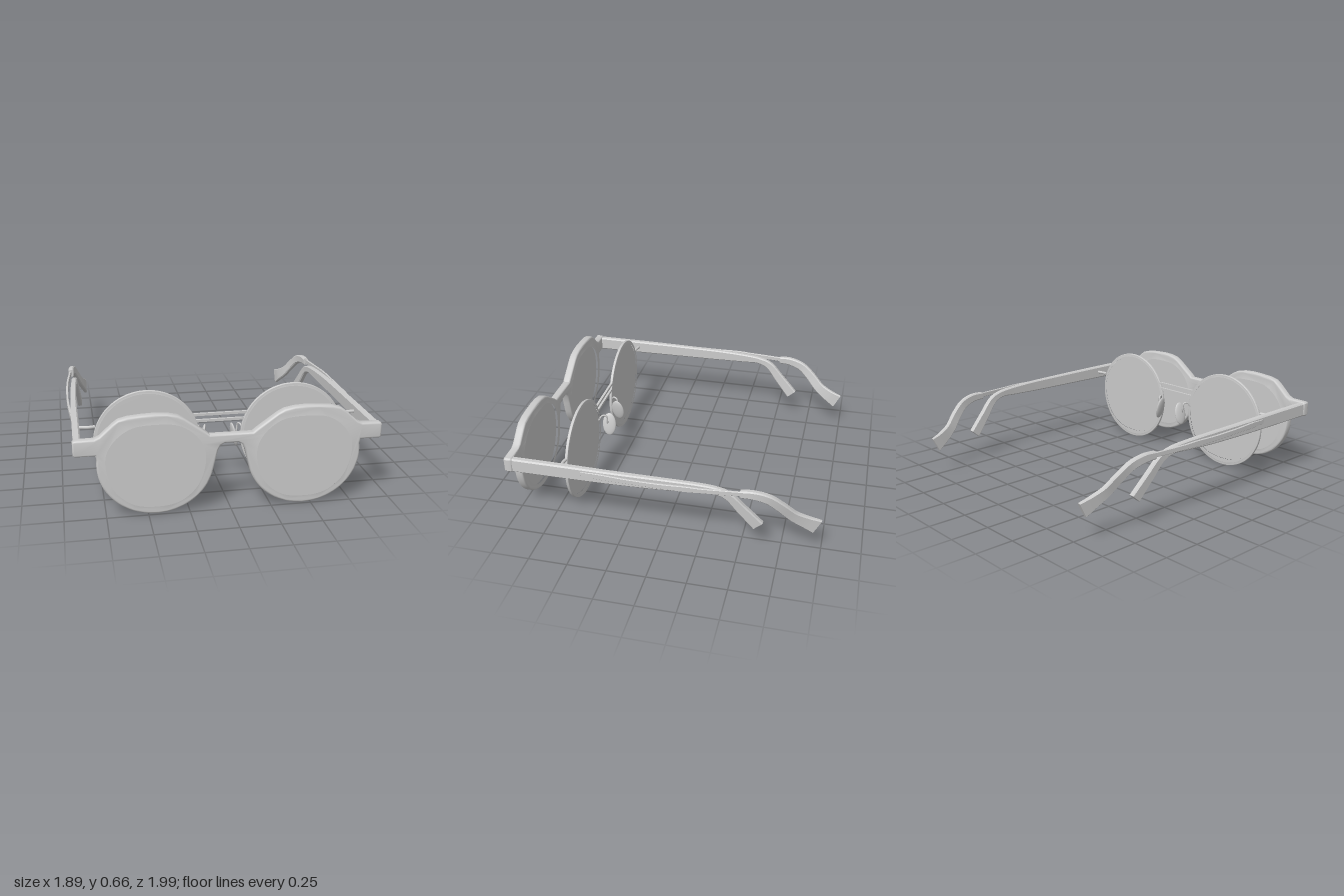
import * as THREE from 'three';
import { toCreasedNormals } from 'three/addons/utils/BufferGeometryUtils.js';

const material = new THREE.MeshStandardMaterial({ color: 0xcccccc });
const V2 = (x, y) => new THREE.Vector2(x, y);
const V3 = (p) => new THREE.Vector3(...p);

// Mirror a geometry in x and keep its faces outward
function mirrored(geometry) {
  const g = geometry.index ? geometry.toNonIndexed() : geometry.clone();
  g.scale(-1, 1, 1);
  for (const a of Object.values(g.attributes)) {
    const n = a.itemSize;
    for (let i = 0; i < a.count; i += 3)
      for (let k = 0; k < n; k++) {
        const p = (i + 1) * n + k;
        [a.array[p], a.array[p + n]] = [a.array[p + n], a.array[p]];
      }
  }
  return g;
}

// Extrude an outline between two depths with a small inward bevel
function plate(outline, holes, z0, z1, bevel) {
  const shape = new THREE.Shape(outline);
  for (const h of holes) shape.holes.push(new THREE.Path(h));
  const g = new THREE.ExtrudeGeometry(shape, {
    depth: z1 - z0 - 2 * bevel, bevelEnabled: bevel > 0, bevelThickness: bevel,
    bevelSize: bevel, bevelOffset: -bevel, bevelSegments: 3,
  });
  g.translate(0, 0, z0 + bevel);
  return toCreasedNormals(g, 0.6);
}

// Sweep a chamfered rectangle through stations [x, y, z, height, width]
function bar(stations, steps = 40) {
  const path = new THREE.CatmullRomCurve3(stations.map((s) => V3(s.slice(0, 3))));
  const size = new THREE.CatmullRomCurve3(stations.map((s) => V3([s[3], s[4], 0])));
  const pos = [], index = [], n = 8;
  const X = new THREE.Vector3(1, 0, 0);
  for (let i = 0; i <= steps; i++) {
    const c = path.getPoint(i / steps), t = path.getTangent(i / steps);
    const { x: h, y: w } = size.getPoint(i / steps);
    const N = X.clone().cross(t).normalize();
    const a = w / 2, b = h / 2, k = Math.min(w, h) * 0.2;
    const ring = [[a, -b + k], [a, b - k], [a - k, b], [k - a, b],
      [-a, b - k], [-a, k - b], [k - a, -b], [a - k, -b]];
    for (const [u, v] of ring) pos.push(c.x + u, c.y + N.y * v, c.z + N.z * v);
  }
  for (let i = 0; i < steps; i++)
    for (let j = 0; j < n; j++) {
      const a = i * n + j, b = i * n + ((j + 1) % n);
      index.push(a, a + n, b, b, a + n, b + n);
    }
  const e = steps * n;
  for (let j = 1; j < n - 1; j++) index.push(0, j, j + 1, e, e + j + 1, e + j);
  const g = new THREE.BufferGeometry();
  g.setAttribute('position', new THREE.Float32BufferAttribute(pos, 3));
  g.setIndex(index);
  return toCreasedNormals(g, 0.5);
}

const tube = (points, r) =>
  new THREE.TubeGeometry(new THREE.CatmullRomCurve3(points.map(V3)), 24, r, 8);

// Smooth lens opening from half a profile, mirrored about its own centre line
function opening(cx, half) {
  const other = half.slice(1, -1).reverse().map(([x, y]) => [-x, y]);
  const pts = [...half, ...other].map(([x, y]) => new THREE.Vector3(cx + x, y, 0));
  return new THREE.CatmullRomCurve3(pts, true).getPoints(72).slice(0, -1).map((p) => V2(p.x, p.y));
}

function ellipse(cx, cy, rx, ry) {
  return Array.from({ length: 72 }, (_, i) => {
    const a = -i / 72 * Math.PI * 2;
    return V2(cx + rx * Math.cos(a), cy + ry * Math.sin(a));
  });
}

const flip = (pts) => pts.map((p) => V2(-p.x, p.y)).reverse();

export function createModel() {
  const model = new THREE.Group();
  const add = (name, geometry) => {
    const m = new THREE.Mesh(geometry, material);
    m.name = name;
    model.add(m);
  };
  const pair = (name, geometry) => {
    add('left' + name, geometry);
    add('right' + name, mirrored(geometry));
  };

  // Thick front frame: angled brows, square end pieces, round lower rims
  const half = [[0.13, 0.487], [0.155, 0.508], [0.28, 0.597], [0.32, 0.618], [0.38, 0.63],
    [0.45, 0.634], [0.53, 0.631], [0.61, 0.624], [0.665, 0.61], [0.7, 0.585], [0.775, 0.516],
    [0.805, 0.502], [0.92, 0.5], [0.93, 0.49], [0.93, 0.41], [0.92, 0.4], [0.8, 0.4]]
    .map((p) => V2(...p));
  for (let i = 0; i <= 40; i++) {
    const a = (8 - 173 * i / 40) * Math.PI / 180;
    half.push(V2(0.45 + 0.347 * Math.cos(a), 0.33 + 0.322 * Math.sin(a)));
  }
  half.push(...[[0.095, 0.33], [0.08, 0.39], [0.065, 0.418], [0.04, 0.43]].map((p) => V2(...p)));
  const hole = opening(0.45, [[0, 0.585], [0.14, 0.57], [0.24, 0.505], [0.3, 0.41],
    [0.303, 0.29], [0.25, 0.155], [0.14, 0.065], [0, 0.042]]);
  add('frontFrame', plate([...half, ...flip(half)], [hole, flip(hole)], 0.945, 1, 0.012));
  pair('FrontLens', plate(hole, [], 0.965, 0.98, 0));

  // Thin inner frame: raised rim, flattened insert and lens
  const cx = 0.465, cy = 0.335;
  const insert = opening(cx, [[0, 0.625], [0.14, 0.605], [0.245, 0.53], [0.308, 0.42],
    [0.312, 0.29], [0.255, 0.15], [0.14, 0.07], [0, 0.05]]);
  pair('InnerRim', plate(ellipse(cx, cy, 0.335, 0.332),
    [ellipse(cx, cy, 0.318, 0.315)], 0.632, 0.65, 0.003));
  pair('LensInsert', plate(ellipse(cx, cy, 0.32, 0.317), [insert], 0.635, 0.647, 0));
  pair('InnerLens', plate(insert, [], 0.638, 0.644, 0));
  pair('InnerEndPiece', tube([[0.785, 0.45, 0.641], [0.82, 0.45, 0.648],
    [0.86, 0.45, 0.642], [0.9, 0.45, 0.636]], 0.011));

  // Double wire bridge
  for (const [name, y, w] of [['upperBridge', 0.489, 0.34], ['lowerBridge', 0.448, 0.31]]) {
    const g = new THREE.BoxGeometry(w, 0.016, 0.016);
    g.translate(0, y, 0.64);
    add(name, g);
  }

  // Nose pads on curled wires
  const pad = new THREE.SphereGeometry(1, 24, 16);
  pad.scale(0.014, 0.082, 0.047);
  pad.rotateZ(0.2);
  pad.rotateY(0.15);
  pad.translate(0.102, 0.318, 0.577);
  pair('NosePad', pad);
  pair('NosePadArm', tube([[0.15, 0.37, 0.637], [0.135, 0.4, 0.615], [0.125, 0.395, 0.59],
    [0.118, 0.35, 0.585], [0.108, 0.32, 0.59]], 0.006));

  // Thick temples with a short bent tip
  pair('OuterTemple', bar([[0.902, 0.448, 0.955, 0.094, 0.044], [0.902, 0.447, 0.6, 0.092, 0.044],
    [0.902, 0.446, 0.3, 0.086, 0.042], [0.897, 0.446, 0, 0.078, 0.038],
    [0.888, 0.446, -0.22, 0.062, 0.036], [0.882, 0.441, -0.34, 0.048, 0.036],
    [0.876, 0.41, -0.42, 0.055, 0.036], [0.863, 0.31, -0.51, 0.068, 0.037],
    [0.848, 0.195, -0.61, 0.08, 0.036]], 64));

  // Slim bowed temples of the inner frame and their drooping sleeves
  pair('InnerTemple', bar([[0.9, 0.457, 0.64, 0.03, 0.014], [0.922, 0.457, 0.45, 0.032, 0.014],
    [0.936, 0.457, 0.2, 0.032, 0.014], [0.938, 0.456, 0, 0.032, 0.014],
    [0.93, 0.456, -0.25, 0.032, 0.014], [0.902, 0.455, -0.55, 0.03, 0.014]]));
  pair('TempleSleeve', bar([[0.902, 0.454, -0.5, 0.048, 0.036], [0.896, 0.452, -0.58, 0.056, 0.037],
    [0.882, 0.425, -0.67, 0.062, 0.037], [0.86, 0.365, -0.745, 0.068, 0.036],
    [0.828, 0.285, -0.825, 0.074, 0.034], [0.804, 0.235, -0.905, 0.09, 0.03],
    [0.792, 0.203, -0.968, 0.11, 0.022]], 48));

  return model;
}
